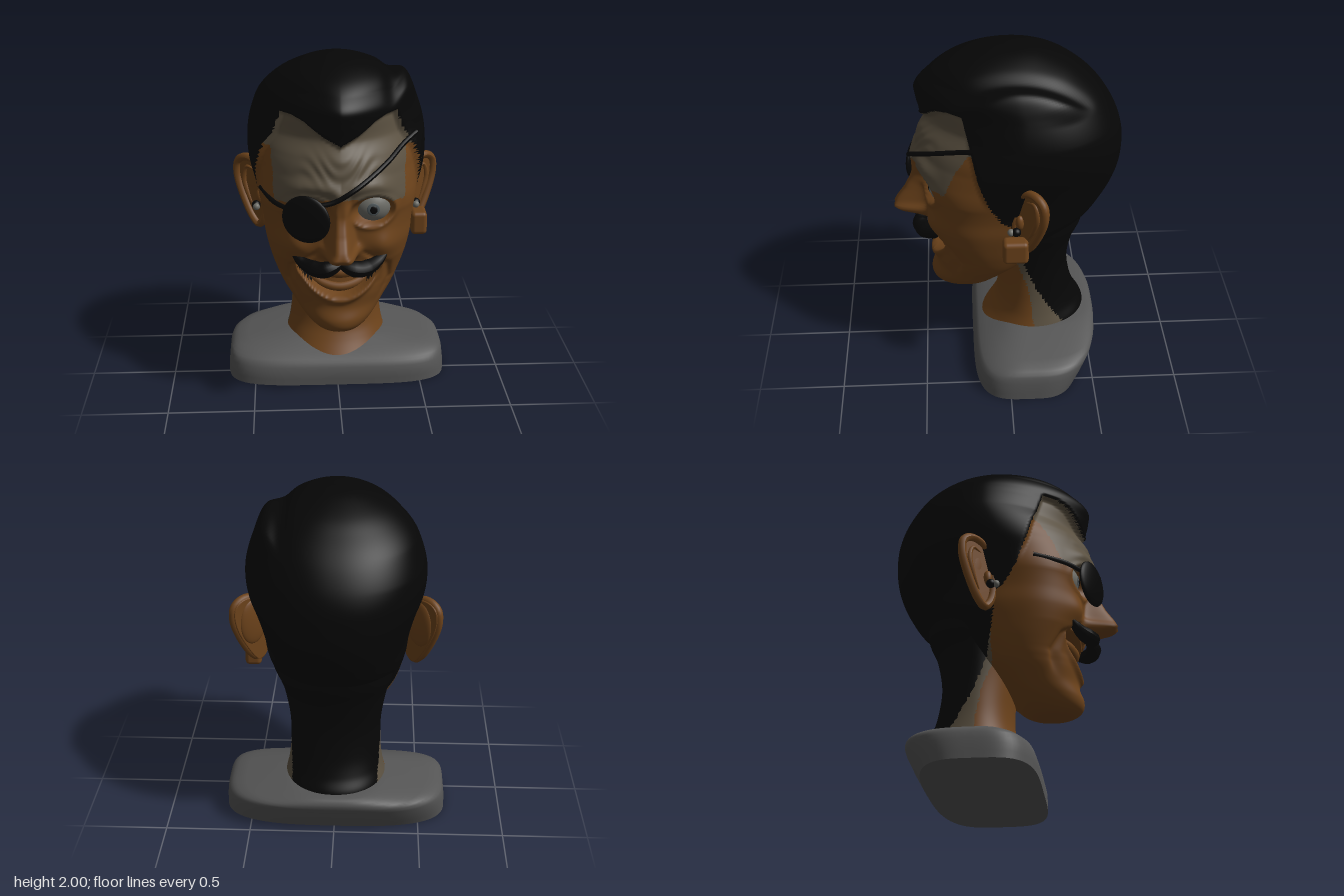
import * as THREE from 'three';
import { toCreasedNormals } from 'three/addons/utils/BufferGeometryUtils.js';
import { RoundedBoxGeometry } from 'three/addons/geometries/RoundedBoxGeometry.js';

const mat = (name, color) => Object.assign(new THREE.MeshStandardMaterial({ color }), { name });
const { smoothstep } = THREE.MathUtils;
const bump = (d, w) => Math.exp(-(d / w) * (d / w));

// Linear lookup in a list of [key, value] pairs
function lut(table, k) {
  if (k <= table[0][0]) return table[0][1];
  for (let i = 1; i < table.length; i++) {
    const [a, va] = table[i - 1], [b, vb] = table[i];
    if (k <= b) return va + (vb - va) * (k - a) / (b - a);
  }
  return table[table.length - 1][1];
}

// Skin through rings [y, zFront, zBack, halfWidth]; mid is the widest z, front and back are roundness exponents
function loft(rings, { cols, sub, mid, front, back, smooth = true, warp = 0, shape, paint }) {
  const rows = [], pos = [], base = [], v = new THREE.Vector3();
  for (let i = 0; i < rings.length - 1; i++) {
    const [p0, p1, p2, p3] = [-1, 0, 1, 2].map(o => rings[THREE.MathUtils.clamp(i + o, 0, rings.length - 1)]);
    for (let s = 0; s < sub + (i === rings.length - 2 ? 1 : 0); s++) {
      const t = s / sub;
      rows.push(p1.map((b, j) => smooth
        ? b + 0.5 * t * (p2[j] - p0[j] + t * (2 * p0[j] - 5 * b + 4 * p2[j] - p3[j] + t * (3 * (b - p2[j]) + p3[j] - p0[j])))
        : b + (p2[j] - b) * t));
    }
  }
  for (const [y, zf, zb, hw] of rows) {
    const zc = lut(mid, y), ef = lut(front, y);
    for (let c = 0; c < cols; c++) {
      const t = (c / cols * 2 - 1) * Math.PI, a = t - warp * Math.sin(t);
      const sn = Math.sin(a), cs = Math.cos(a), e = cs > 0 ? ef : back;
      const r = (Math.abs(sn) ** e + Math.abs(cs) ** e) ** (-1 / e);
      v.set(hw * sn * r, y, zc + (cs > 0 ? zf - zc : zc - zb) * cs * r);
      base.push(v.clone());
      if (shape) shape(v, zc);
      pos.push(v.x, v.y, v.z);
    }
  }
  const lists = [];
  const face = (a, b, c) => {
    const m = paint ? paint(base[a].clone().add(base[b]).add(base[c]).divideScalar(3)) : 0;
    (lists[m] ||= []).push(a, b, c);
  };
  for (let r = 0; r < rows.length - 1; r++) for (let c = 0; c < cols; c++) {
    const a = r * cols + c, b = r * cols + (c + 1) % cols;
    face(a, b, b + cols);
    face(a, b + cols, a + cols);
  }
  const g = new THREE.BufferGeometry(), index = [];
  g.setAttribute('position', new THREE.Float32BufferAttribute(pos, 3));
  lists.forEach((l, m) => {
    g.addGroup(index.length, l.length, m);
    for (const k of l) index.push(k);
  });
  g.setIndex(index);
  g.computeVertexNormals();
  return g;
}

// Tube whose radius follows a rule along its length
function taperTube(points, radius, seg = 32, closed = false) {
  const curve = new THREE.CatmullRomCurve3(points.map(p => new THREE.Vector3(...p)), closed);
  const g = new THREE.TubeGeometry(curve, seg, 1, 10, closed), p = g.attributes.position, v = new THREE.Vector3();
  for (let i = 0; i < p.count; i++) {
    const t = Math.floor(i / 11) / seg, c = curve.getPointAt(t);
    v.fromBufferAttribute(p, i).sub(c).multiplyScalar(radius(t)).add(c);
    p.setXYZ(i, v.x, v.y, v.z);
  }
  g.computeVertexNormals();
  return g;
}

// Hairline: forward limit by height, and front edge with a widow's peak
const sideLine = [[.2, -.36], [.25, -.335], [.36, -.255], [.52, -.165], [.68, -.1], [.87, -.055], [1.07, -.03],
  [1.1, .02], [1.23, .1], [1.4, .165], [1.56, .205], [1.74, .25]];
const frontLine = [[0, 1.6], [.1, 1.65], [.2, 1.72], [.27, 1.745]];
const neckShade = [[.2, -.16], [.4, -.14], [.55, -.11], [.7, -.05], [.85, -.05]];
// Shaved forehead: forward limit by height
const templeLine = [[1.25, .37], [1.4, .33], [1.52, .25], [1.56, .1]];
const hairDepth = v => Math.max(lut(sideLine, v.y) - v.z, v.y - lut(frontLine, Math.abs(v.x)));
const noseLine = [[.92, 0], [.94, .06], [.96, .17], [.99, .2], [1.03, .18], [1.1, .125], [1.2, .07], [1.36, 0]];
const noseWidth = [[.95, .075], [1.05, .065], [1.2, .045]];
const foldLine = [[.62, .23], [.75, .28], [.86, .27], [.98, .12]];
const mouthLow = x => .68 + 2.6 * x * x;
const inMouth = (x, y) => smoothstep(y - mouthLow(x), 0, .025) * smoothstep(.885 - y, 0, .025) * smoothstep(.25 - Math.abs(x), 0, .03);

function sculptFace(v, zc) {
  const { x, y } = v, ax = Math.abs(x), facing = smoothstep(v.z, .15, .3);
  // Forehead sits below the thickness of the hair
  const inset = 1 - .08 * (1 - smoothstep(hairDepth(v), -.035, 0)) * smoothstep(y, 1.2, 1.42);
  v.x = x * inset;
  v.z = zc + (v.z - zc) * inset;
  // Combed ridge and groove beside the parting
  const crown = smoothstep(y, 1.72, 1.8);
  v.y += (.035 * bump(x - .385, .045) - .015 * bump(x - .29, .04)) * crown;
  v.x += .012 * bump(x - .4, .05) * crown;
  // Nose and nostrils
  let dz = lut(noseLine, y) * Math.exp(-((ax / lut(noseWidth, y)) ** 4));
  dz += .07 * bump(ax - .075, .032) * bump(y - .985, .03);
  // Eye sockets, lids, brow and forehead wrinkles
  const d = Math.hypot((ax - .18) / .108, (y - 1.215) / .08);
  dz += -.09 * Math.exp(-(d ** 4)) + .02 * bump(d - 1.2, .2);
  dz += .03 * bump(y - 1.34 - .03 * Math.sin(ax * 10), .045) * (1 - smoothstep(ax, .24, .36));
  dz += .004 * Math.sin((y + .1 * Math.cos(ax * 14)) * 75) * bump(y - 1.46, .07) * (1 - smoothstep(ax, .2, .3));
  // Cheeks, smile folds, open mouth and lower lip
  dz += .035 * bump(ax - .25, .08) * bump(y - 1.0, .08);
  dz -= .022 * bump(ax - lut(foldLine, y), .02) * smoothstep(y, .6, .7) * (1 - smoothstep(y, .93, .99));
  dz -= .1 * inMouth(x, y);
  dz += .022 * bump(y - mouthLow(x) + .018, .022) * (1 - smoothstep(ax, .16, .24));
  v.z += dz * facing;
}

export function createModel() {
  const model = new THREE.Group();
  const skin = mat('skin', 0x6d431b), shade = mat('shaved skin', 0x5b5141), black = mat('black hair', 0x060606);
  const shirt = mat('grey shirt', 0x555555), white = mat('eye grey', 0x6c6c66), irisGrey = mat('iris grey', 0x50595c);
  const add = (name, geo, material, x = 0, y = 0, z = 0, parent = model) => {
    const m = new THREE.Mesh(geo, material);
    m.name = name;
    m.position.set(x, y, z);
    parent.add(m);
    return m;
  };
  const ball = (rx, ry, rz) => new THREE.SphereGeometry(1, 32, 20).scale(rx, ry, rz);

  // Head with face and hair
  const headRings = [
    [.44, .281, .279, .001], [.446, .38, .17, .09], [.475, .435, .1, .15], [.53, .45, .04, .21], [.61, .425, -.05, .27],
    [.7, .43, -.15, .33], [.8, .42, -.28, .37], [.9, .44, -.38, .398], [1, .46, -.5, .42], [1.1, .47, -.57, .43],
    [1.2, .48, -.62, .45], [1.3, .53, -.65, .475], [1.4, .56, -.66, .505], [1.5, .55, -.655, .515], [1.6, .49, -.625, .507],
    [1.7, .505, -.57, .48], [1.78, .51, -.505, .445], [1.85, .45, -.425, .385], [1.91, .365, -.34, .305],
    [1.96, .24, -.23, .2], [1.99, .11, -.13, .1], [2, -.0195, -.0205, .0005]];
  const paintHead = v => {
    if (hairDepth(v) > -.012) return 2;
    if (v.z > .2 && Math.abs(v.x) > .155 && v.y < .85 && inMouth(v.x, v.y) > .4) return 2;
    if (v.y > 1.31 - .15 * Math.abs(v.x) && v.z > lut(templeLine, v.y)) return 1;
    return v.y < .85 && v.z < lut(neckShade, v.y) ? 1 : 0;
  };
  add('head', loft(headRings, {
    cols: 232, sub: 8, warp: .5, back: 2.15, shape: sculptFace, paint: paintHead,
    mid: [[.44, .28], [.53, .2], [.7, .1], [1, .1], [1.2, .07], [1.4, 0], [1.6, -.08], [1.75, -.08], [1.95, -.02]],
    front: [[.44, 2], [.75, 2.05], [.9, 2.5], [1.2, 2.5], [1.4, 1.9], [1.5, 1.7], [1.6, 1.6], [1.7, 1.55], [1.85, 1.6], [1.96, 2]],
  }), [skin, shade, black]);

  // Neck with the hair running down the nape
  const neckRings = [[.14, .17, -.46, .33], [.24, .1, -.48, .3], [.33, .06, -.43, .28], [.45, .05, -.39, .268],
    [.62, .06, -.37, .27], [.8, .06, -.4, .3], [.92, .06, -.45, .335], [1.06, .02, -.48, .33]];
  add('neck', loft(neckRings, {
    cols: 96, sub: 8, back: 2.1, mid: [[0, -.16]], front: [[0, 2]],
    paint: v => v.z < lut(sideLine, v.y) ? 2 : v.z < lut(neckShade, v.y) ? 1 : 0,
  }), [skin, shade, black]);

  // Shoulders of the bust
  const bustRings = [[0, -.1395, -.1405, .001], [0, .21, -.44, .665], [.08, .21, -.485, .662], [.14, .19, -.515, .655],
    [.165, .155, -.528, .645], [.19, .11, -.538, .605], [.215, .06, -.54, .48], [.24, .01, -.525, .34],
    [.25, -.03, -.49, .28], [.25, -.1395, -.1405, .001]];
  add('shoulders', toCreasedNormals(loft(bustRings, {
    cols: 120, sub: 2, smooth: false, back: 3, mid: [[0, -.14]], front: [[.16, 4.2], [.24, 3]],
  }), 1), shirt);

  // Gum and teeth ridges inside the smile
  for (const [name, y, k, z, r] of [['upperTeeth', .825, 1, .395, .034], ['lowerTeeth', .72, 2, .36, .026]]) {
    const pts = [-.17, -.09, 0, .09, .17].map(x => [x, y + k * x * x, z - 2.2 * x * x]);
    add(name, taperTube(pts, t => r * Math.sin(Math.PI * (.06 + .88 * t)) ** .4), skin);
  }

  for (const [side, s] of [['left', 1], ['right', -1]]) {
    // Eyes
    add(side + 'Eyeball', ball(.115, .105, .105), white, s * .18, 1.215, .34);
    add(side + 'Iris', ball(.036, .036, .006), irisGrey, s * .183, 1.215, .441);
    add(side + 'Pupil', ball(.021, .023, .006), black, s * .185, 1.213, .445);

    // Half of the moustache
    const half = [[0, .92, .49], [.06, .895, .51], [.12, .883, .495], [.2, .9, .44], [.275, .95, .39]];
    const girth = [[0, .028], [.25, .046], [.5, .046], [.8, .028], [1, .004]];
    add(side + 'Moustache', taperTube(half.map(([x, y, z]) => [s * x, y, z]), t => lut(girth, t)), black);

    // Ear: thin shell, rolled rim, inner fold, rounded back and front flap
    const ear = new THREE.Group();
    ear.name = side + 'Ear';
    ear.position.set(s * .44, 0, -.06);
    ear.rotation.y = s * .72;
    model.add(ear);
    const rim = [[-.02, 1.27], [.04, 1.335], [.12, 1.35], [.18, 1.315], [.19, 1.24], [.155, 1.13], [.07, .985], [.02, .95], [-.03, 1.02]];
    const outline = new THREE.Shape();
    outline.moveTo(s * rim[0][0], rim[0][1]);
    outline.splineThru(rim.slice(1).concat([rim[0]]).map(([u, y]) => new THREE.Vector2(s * u, y)));
    add(side + 'EarShell', new THREE.ExtrudeGeometry(outline, { depth: .012, bevelSize: .006, bevelThickness: .008, bevelSegments: 3, curveSegments: 6 }),
      skin, 0, 0, -.016, ear);
    add(side + 'EarRim', taperTube(rim.map(([u, y]) => [s * u, y, .004]), () => .024, 60, true), skin, 0, 0, 0, ear);
    const fold = [[.05, 1.28], [.11, 1.29], [.135, 1.22], [.105, 1.12], [.06, 1.04]].map(([u, y]) => [s * u, y, .002]);
    add(side + 'EarFold', taperTube(fold, t => .004 + .014 * Math.sin(Math.PI * t)), skin, 0, 0, 0, ear);
    add(side + 'EarBack', ball(.09, .14, .025), skin, s * .07, 1.2, -.02, ear);
    add(side + 'EarFlap', ball(.025, .045, .025), skin, s * .005, 1.13, .01, ear);

    // Studs
    add(side + 'Stud', ball(.021, .021, .02), white, s * .472, 1.08, -.005);
    add(side + 'StudBack', ball(.026, .026, .026), black, s * .474, 1.082, -.035);
  }

  // Square earring on the left ear
  add('earring', new RoundedBoxGeometry(.095, .14, .145, 4, .025), skin, .49, .97, -.03);

  // Eye patch and its strap
  add('eyePatch', ball(.142, .135, .03), black, -.19, 1.193, .52).rotation.y = -.42;
  const strap = [[-.12, 1.28, .55], [-.04, 1.3, .555], [.08, 1.37, .55], [.25, 1.47, .42], [.36, 1.54, .27], [.44, 1.585, .19]];
  add('strapLong', taperTube(strap, () => .014, 48), black);
  add('strapShort', taperTube([[-.26, 1.235, .48], [-.32, 1.24, .43], [-.37, 1.25, .37], [-.44, 1.275, .2]], () => .013), black);

  return model;
}
